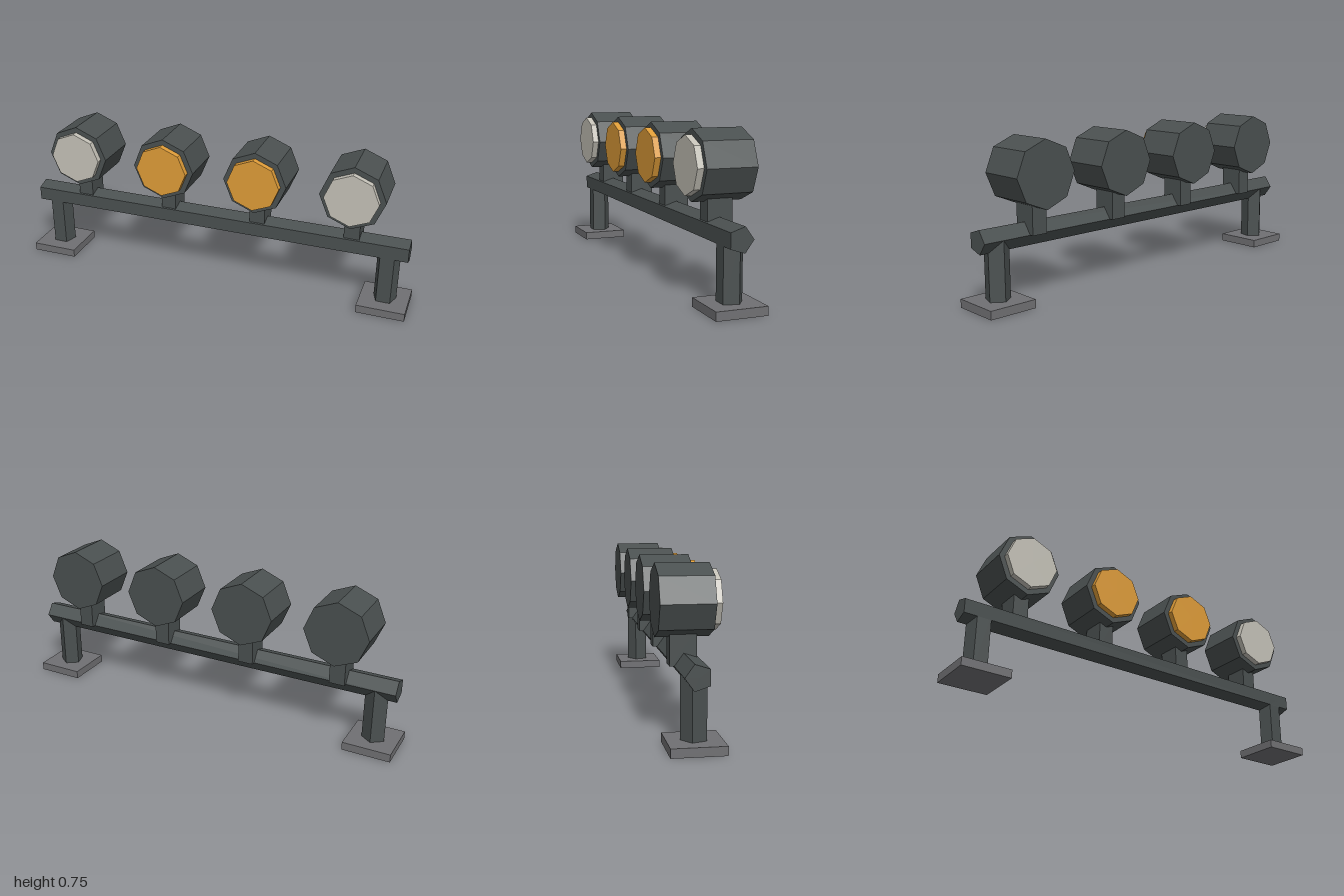
import * as THREE from 'three';

const material = (name, color) => {
  const m = new THREE.MeshStandardMaterial({ color, flatShading: true });
  m.name = name;
  return m;
};

export function createModel() {
  const model = new THREE.Group();
  model.name = 'lightBar';

  const darkMetal = material('darkMetal', 0x4a5050);
  const greyMetal = material('greyMetal', 0x707073);
  const clearLens = material('clearLens', 0xc4c1b7);
  const amberLens = material('amberLens', 0xde9c38);

  const add = (parent, name, geometry, mat, x, y, z) => {
    const mesh = new THREE.Mesh(geometry, mat);
    mesh.name = name;
    mesh.position.set(x, y, z);
    parent.add(mesh);
  };

  // Five-sided tube with one corner pointing backwards
  const tube = (length) =>
    new THREE.CylinderGeometry(0.058, 0.058, length, 5, 1, false, Math.PI);
  // Eight-sided drum along z with a corner on top
  const drum = (radius, depth) =>
    new THREE.CylinderGeometry(radius, radius, depth, 8).rotateX(Math.PI / 2);

  const frameZ = 0.005;
  const barY = 0.315;

  // Crossbar
  add(model, 'crossbar', tube(1.96).rotateZ(Math.PI / 2), darkMetal, 0, barY, frameZ);

  // Legs with foot plates
  for (const side of [-1, 1]) {
    const leg = new THREE.Group();
    leg.name = side > 0 ? 'leftLeg' : 'rightLeg';
    leg.position.set(side * 0.8825, 0, frameZ);
    add(leg, 'post', tube(0.295), darkMetal, 0, 0.1675, 0);
    add(leg, 'footPlate', new THREE.BoxGeometry(0.235, 0.04, 0.234), greyMetal, 0, 0.02, 0);
    model.add(leg);
  }

  // Four lamps: clear outside, amber inside
  [-0.705, -0.235, 0.235, 0.705].forEach((x, i) => {
    const lamp = new THREE.Group();
    lamp.name = `lamp${i + 1}`;
    lamp.position.set(x, 0, -0.0145);
    add(lamp, 'bracket', new THREE.BoxGeometry(0.076, 0.155, 0.117), darkMetal, 0, 0.3925, 0);
    add(lamp, 'housing', drum(0.156, 0.233), darkMetal, 0, 0.59, 0);
    add(lamp, 'lens', drum(0.129, 0.05), i === 0 || i === 3 ? clearLens : amberLens, 0, 0.59, 0.1215);
    model.add(lamp);
  });

  return model;
}
